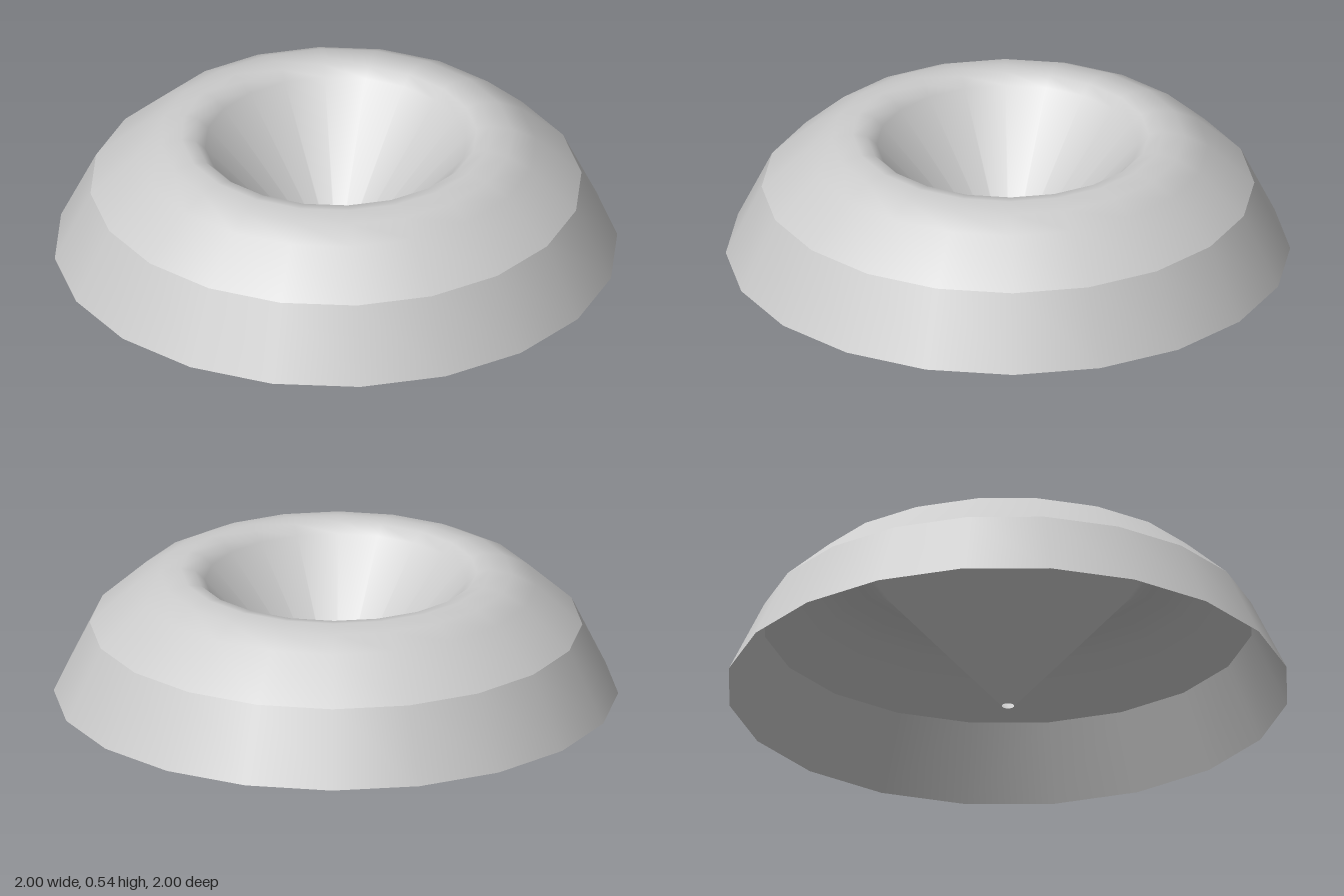
import * as THREE from 'three';

const SIDES = 20;

export function createModel() {
  const group = new THREE.Group();
  const material = new THREE.MeshStandardMaterial({ color: 0xcccccc, side: THREE.DoubleSide });

  // Each part is a thin open shell turned from a [radius, height] profile
  function addShell(name, profile) {
    const points = profile.map(([r, y]) => new THREE.Vector2(r, y));
    const mesh = new THREE.Mesh(new THREE.LatheGeometry(points, SIDES), material);
    mesh.name = name;
    group.add(mesh);
  }

  // Flared outer wall, meeting the shoulder at a sharp crease
  addShell('outerSkirt', [[1, 0.077], [0.873, 0.337]]);

  // Rounded shoulder rolling over the rim into a funnel with an open tip
  addShell('rimAndFunnel', [
    [0.873, 0.337], [0.71, 0.483], [0.625, 0.525], [0.55, 0.54],
    [0.5, 0.532], [0.465, 0.5], [0.022, 0],
  ]);

  return group;
}
